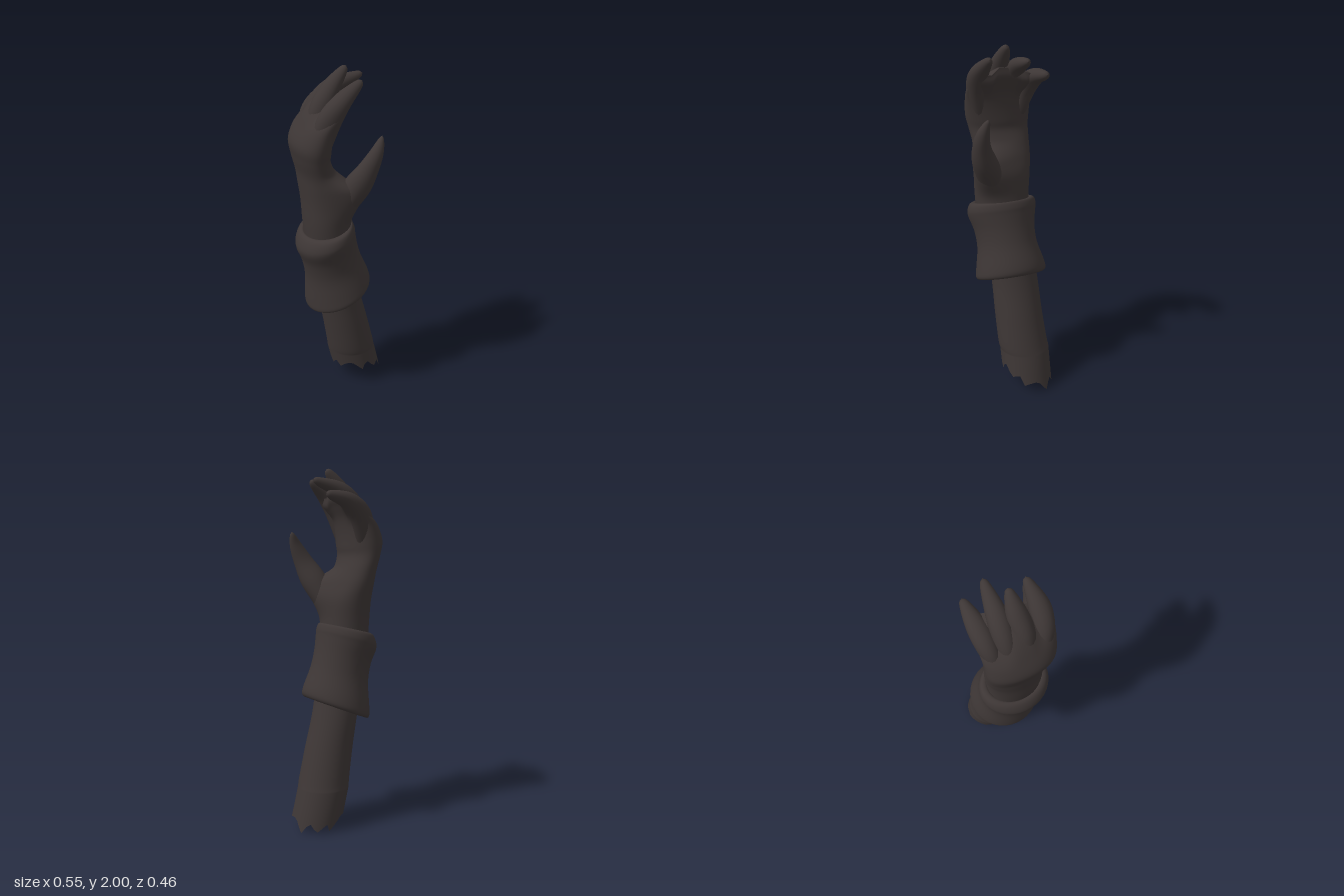
import * as THREE from 'three';

const dark = new THREE.MeshStandardMaterial({ color: 0x3d3635, side: THREE.DoubleSide });
dark.name = 'charcoal brown';

const { smoothstep, degToRad, radToDeg } = THREE.MathUtils;

// Smooth tube through cross-sections [x, y, z, radiusX, radiusZ, tilt in degrees].
// round < 1 makes the section boxier; edit may move each point.
function loft(name, rings, { sides = 28, steps = 6, round = 1, edit } = {}) {
  const spline = (from) => new THREE.CatmullRomCurve3(
    rings.map((r) => new THREE.Vector3(...r.slice(from, from + 3))), false, 'catmullrom', 0.5);
  const path = spline(0), size = spline(3);
  const rows = (rings.length - 1) * steps;
  const pos = [], index = [];
  const bend = (v) => Math.sign(v) * Math.abs(v) ** round;
  for (let i = 0; i <= rows; i++) {
    const c = path.getPoint(i / rows), s = size.getPoint(i / rows);
    const tilt = degToRad(s.z);
    for (let j = 0; j < sides; j++) {
      const a = (j / sides) * Math.PI * 2;
      const u = Math.max(0, s.x) * bend(Math.cos(a));
      const v = Math.max(0, s.y) * bend(Math.sin(a));
      const p = new THREE.Vector3(c.x + u * Math.cos(tilt), c.y + u * Math.sin(tilt), c.z + v);
      if (edit) edit(p, i, j, a);
      pos.push(p.x, p.y, p.z);
      if (i < rows) {
        const k = (j + 1) % sides, n = i * sides, m = n + sides;
        index.push(n + j, m + j, n + k, n + k, m + j, m + k);
      }
    }
  }
  const geo = new THREE.BufferGeometry();
  geo.setAttribute('position', new THREE.Float32BufferAttribute(pos, 3));
  geo.setIndex(index);
  geo.computeVertexNormals();
  const mesh = new THREE.Mesh(geo, dark);
  mesh.name = name;
  return mesh;
}

export function createModel() {
  const model = new THREE.Group();
  model.name = 'gloveArm';

  // Hollow forearm with a torn, slanting lower edge
  const teeth = [0.018, 0.008, -0.006, -0.024, 0.02, 0.006, -0.012, 0.004, 0.03, 0.012, -0.03, -0.008, 0.014];
  const tear = (p, i, j) => {
    if (i > 0) return;
    const y = 0.088 + 0.35 * (p.z + 0.07) - 0.25 * (p.x - 0.1) + teeth[j % teeth.length];
    p.x -= 0.24 * (y - p.y);
    p.y = Math.max(0.005, y);
  };
  model.add(loft('forearm', [
    [0.095, 0.22, -0.066, 0.144, 0.146, 0],
    [0.082, 0.28, -0.056, 0.141, 0.146, 0],
    [0.045, 0.45, -0.045, 0.133, 0.141, 0],
    [0, 0.65, -0.037, 0.125, 0.137, 0],
    [-0.05, 0.9, -0.01, 0.125, 0.135, 0],
  ], { sides: 39, edit: tear }));

  // Flared cuff with rolled rims
  model.add(loft('cuff', [
    [-0.03, 0.86, -0.02, 0.125, 0.135, 20],
    [-0.022, 0.74, -0.02, 0.15, 0.16, 21],
    [-0.016, 0.68, -0.02, 0.172, 0.18, 22],
    [-0.013, 0.665, -0.02, 0.188, 0.195, 22],
    [-0.014, 0.683, -0.02, 0.202, 0.208, 22],
    [-0.022, 0.735, -0.018, 0.196, 0.2, 21],
    [-0.045, 0.85, -0.009, 0.17, 0.175, 18],
    [-0.07, 0.95, -0.002, 0.163, 0.178, 16],
    [-0.094, 1.03, 0.003, 0.17, 0.198, 17],
    [-0.097, 1.07, 0.003, 0.166, 0.202, 16],
    [-0.095, 1.108, 0.003, 0.148, 0.188, 15],
    [-0.092, 1.112, 0.003, 0.125, 0.155, 13],
    [-0.09, 1.07, 0.003, 0.105, 0.13, 12],
  ], { sides: 36, steps: 4 }));

  // Wrist, palm, knuckles and the web between the fingers.
  // The ball of the thumb swells out at the front; the web droops towards the little finger.
  const shapePalm = (p, i, j, a) => {
    const ball = smoothstep(p.y, 1.14, 1.36) * (1 - smoothstep(p.y, 1.37, 1.47))
      * Math.max(0, Math.cos(a - Math.PI / 4)) ** 3;
    p.x += 0.07 * ball;
    p.z += 0.06 * ball;
    const k = smoothstep(p.y, 1.68, 1.85);
    const little = k * smoothstep(-p.z, 0.03, 0.12);
    p.x += 0.04 * little;
    p.y -= 0.03 * little + 0.035 * k * smoothstep(p.z, 0.045, 0.09);
  };
  model.add(loft('palm', [
    [-0.075, 1.0, 0.0, 0.13, 0.15, 8],
    [-0.088, 1.16, 0.006, 0.13, 0.156, 5],
    [-0.097, 1.28, 0, 0.126, 0.16, 2],
    [-0.12, 1.37, -0.008, 0.112, 0.164, 0],
    [-0.145, 1.45, -0.012, 0.096, 0.165, 0],
    [-0.171, 1.53, -0.008, 0.092, 0.174, -5],
    [-0.176, 1.6, -0.003, 0.1, 0.185, -14],
    [-0.152, 1.69, 0.001, 0.083, 0.19, -23],
    [-0.12, 1.765, 0.002, 0.067, 0.193, -32],
    [-0.075, 1.825, 0.002, 0.052, 0.19, -40],
    [-0.04, 1.86, 0.002, 0.037, 0.178, -46],
    [-0.015, 1.88, 0.002, 0, 0.15, -48],
  ], { round: 0.94, sides: 44, edit: shapePalm }));

  // Four curled, pointed fingers growing out of the web: base, knuckle, upper joint, tip
  const fingers = {
    indexFinger: [[-0.165, 1.6, 0.112], [-0.12, 1.755, 0.138], [-0.05, 1.855, 0.145], [0.065, 1.945, 0.128]],
    middleFinger: [[-0.17, 1.6, 0.035], [-0.125, 1.78, 0.035], [-0.065, 1.893, 0.025], [0.022, 2.0, 0.02]],
    ringFinger: [[-0.167, 1.6, -0.055], [-0.115, 1.77, -0.058], [-0.025, 1.878, -0.057], [0.145, 1.935, -0.05]],
    littleFinger: [[-0.16, 1.6, -0.115], [-0.1, 1.745, -0.14], [-0.01, 1.822, -0.153], [0.13, 1.855, -0.165]],
  };
  for (const [name, [base, knuckle, joint, tip]] of Object.entries(fingers)) {
    const near = joint.map((v, k) => v + (tip[k] - v) * 0.82);
    const slope = -90 + radToDeg(Math.atan2(tip[1] - joint[1], tip[0] - joint[0]));
    model.add(loft(name, [
      [...base, 0.058, 0.042, -14],
      [...knuckle, 0.064, 0.055, -28],
      [...joint, 0.048, 0.052, (slope - 30) / 2],
      [...near, 0.023, 0.024, slope],
      [...tip, 0, 0, slope],
    ], { sides: 18 }));
  }

  // Thumb branching off the ball at the front of the palm
  model.add(loft('thumb', [
    [-0.06, 1.14, 0.04, 0.06, 0.07, 0],
    [-0.015, 1.26, 0.095, 0.066, 0.075, -10],
    [0.036, 1.39, 0.148, 0.074, 0.074, -24],
    [0.083, 1.495, 0.184, 0.055, 0.05, -25],
    [0.125, 1.58, 0.191, 0.036, 0.033, -22],
    [0.153, 1.64, 0.18, 0.015, 0.016, -22],
    [0.16, 1.66, 0.175, 0, 0, -22],
  ], { sides: 22 }));

  return model;
}
